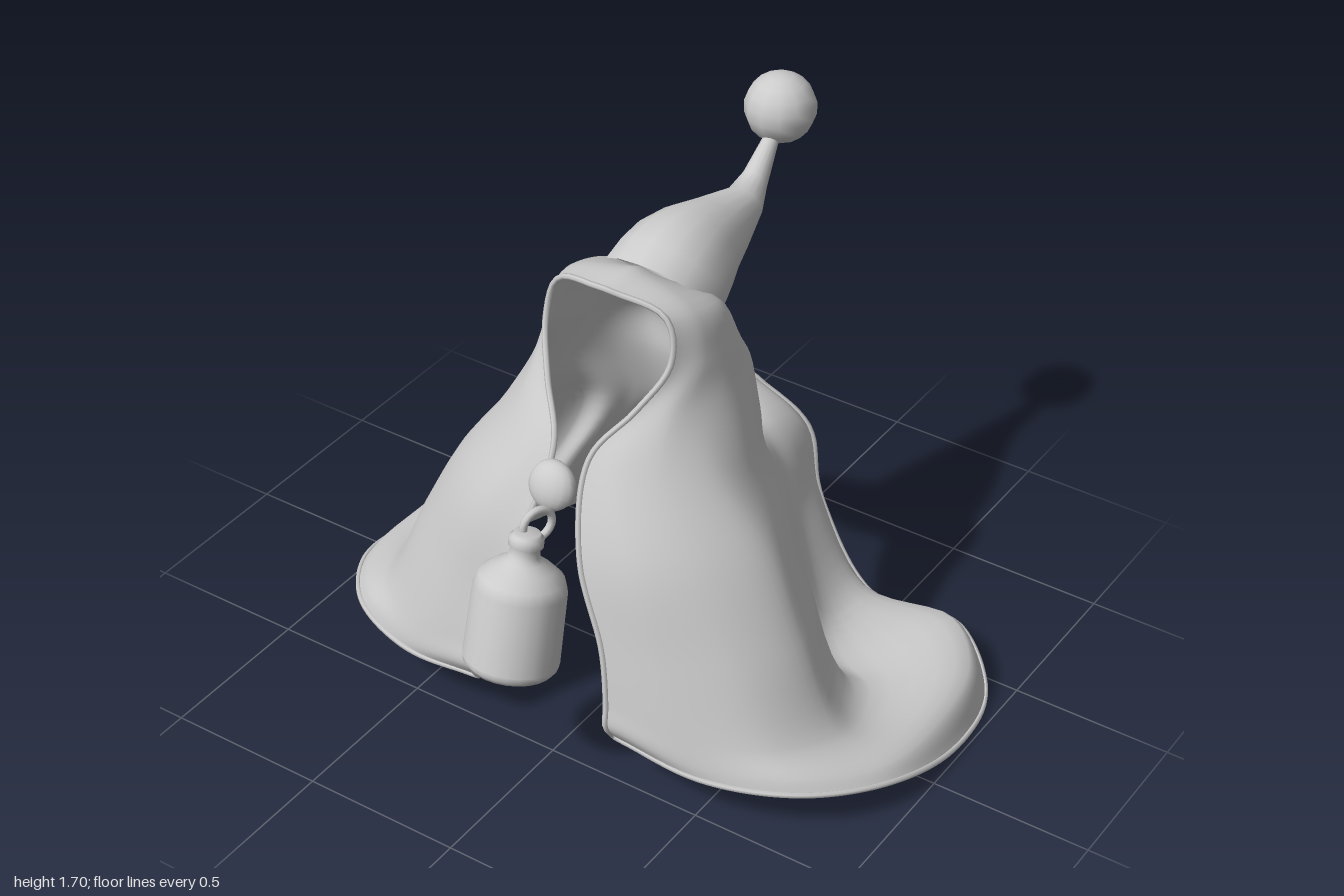
import * as THREE from 'three';
import { mergeVertices } from 'three/addons/utils/BufferGeometryUtils.js';

const material = new THREE.MeshStandardMaterial({ color: 0xcccccc, side: THREE.DoubleSide });

function add(parent, name, geometry) {
  const mesh = new THREE.Mesh(geometry, material);
  mesh.name = name;
  parent.add(mesh);
  return mesh;
}

// Smooth surface through a grid of points given by at(i / nu, j / nv)
function gridSurface(nu, nv, at) {
  const positions = [], index = [];
  for (let j = 0; j <= nv; j++) {
    for (let i = 0; i <= nu; i++) positions.push(...at(i / nu, j / nv).toArray());
  }
  for (let j = 0; j < nv; j++) {
    for (let i = 0; i < nu; i++) {
      const a = j * (nu + 1) + i, b = a + nu + 1;
      index.push(a, b, a + 1, a + 1, b, b + 1);
    }
  }
  const g = new THREE.BufferGeometry();
  g.setAttribute('position', new THREE.Float32BufferAttribute(positions, 3));
  g.setIndex(index);
  const merged = mergeVertices(g, 1e-4);
  merged.computeVertexNormals();
  return merged;
}

const curve = (...pts) => new THREE.CatmullRomCurve3(pts.map(p => new THREE.Vector3(...p)));

// Left half of the cloak: each section runs from the front edge round to the middle of the back
const crown = curve([0, 1.46, 0.215], [0, 1.455, 0.07], [0, 1.36, -0.04], [0, 1.27, -0.11], [0, 1.18, -0.17]);
const brow = curve([0.18, 1.41, 0.18], [0.21, 1.39, 0.08], [0.195, 1.34, -0.07], [0.12, 1.25, -0.15], [0, 1.155, -0.18]);
const cheek = curve([0.21, 1.28, 0.2], [0.26, 1.26, 0.1], [0.25, 1.23, -0.07], [0.16, 1.17, -0.19], [0, 1.12, -0.2]);
const neck = curve([0.15, 1.15, 0.28], [0.24, 1.14, 0.23], [0.3, 1.12, 0.06], [0.27, 1.1, -0.11],
  [0.17, 1.08, -0.24], [0, 1.04, -0.22]);
// Below the shoulders a fold, a valley and a second fold run down the back of each side
const chest = curve([0.06, 1.01, 0.38], [0.16, 1, 0.37], [0.27, 0.99, 0.31], [0.355, 0.97, 0.2], [0.37, 0.95, 0.08],
  [0.345, 0.94, -0.04], [0.3, 0.94, -0.13], [0.24, 0.94, -0.21], [0.17, 0.94, -0.25], [0.09, 0.93, -0.25], [0, 0.92, -0.24]);
const waist = curve([0.1, 0.75, 0.49], [0.28, 0.76, 0.46], [0.44, 0.75, 0.34], [0.52, 0.74, 0.17], [0.45, 0.74, 0],
  [0.35, 0.74, -0.17], [0.28, 0.75, -0.2], [0.23, 0.76, -0.26], [0.17, 0.76, -0.3], [0.09, 0.75, -0.31], [0, 0.73, -0.31]);
const skirt = curve([0.2, 0.49, 0.53], [0.38, 0.5, 0.49], [0.56, 0.5, 0.37], [0.645, 0.49, 0.19], [0.57, 0.49, 0.02],
  [0.46, 0.48, -0.13], [0.385, 0.5, -0.15], [0.33, 0.51, -0.25], [0.24, 0.61, -0.34], [0.14, 0.69, -0.38], [0, 0.72, -0.37]);
const flare = curve([0.23, 0.32, 0.555], [0.47, 0.27, 0.51], [0.68, 0.25, 0.39], [0.775, 0.22, 0.19], [0.75, 0.2, 0.06],
  [0.68, 0.19, -0.06], [0.57, 0.2, -0.1], [0.46, 0.25, -0.23], [0.29, 0.42, -0.39], [0.17, 0.65, -0.47], [0, 0.765, -0.46]);
// Skirt spreads out into a low shelf before dropping to the hem
const shelf = curve([0.235, 0.25, 0.565], [0.5, 0.19, 0.515], [0.75, 0.18, 0.4], [0.91, 0.14, 0.17], [0.94, 0.12, -0.1],
  [0.9, 0.14, -0.37], [0.77, 0.18, -0.49], [0.45, 0.16, -0.5], [0.25, 0.4, -0.56], [0.17, 0.62, -0.57], [0, 0.775, -0.515]);
const hem = curve([0.24, 0.19, 0.53], [0.52, 0.15, 0.51], [0.78, 0.14, 0.4], [0.945, 0.1, 0.17], [0.985, 0.018, -0.17],
  [0.93, 0.018, -0.43], [0.77, 0.12, -0.54], [0.45, 0.09, -0.56], [0.235, 0.36, -0.595], [0.175, 0.58, -0.612], [0, 0.745, -0.55]);
const sections = [crown, brow, cheek, neck, chest, waist, skirt, flare, shelf, hem];

// u: left front edge (0), back (0.5), right front edge (1); v: crown to hem
function cloakPoint(u, v) {
  const t = 1 - Math.abs(1 - 2 * u);
  const p = new THREE.CatmullRomCurve3(sections.map(s => s.getPoint(t))).getPoint(v);
  if (u > 0.5) p.x = -p.x;
  return p;
}

// Drooping hood tip, as rings: top z, top y, bottom z, bottom y, half width
const tipRings = [
  [0.05, 1.45, -0.18, 1.17, 0.18],
  [-0.02, 1.49, -0.22, 1.18, 0.172],
  [-0.1, 1.51, -0.26, 1.2, 0.158],
  [-0.2, 1.508, -0.32, 1.22, 0.13],
  [-0.3, 1.48, -0.4, 1.25, 0.103],
  [-0.47, 1.435, -0.53, 1.315, 0.058],
  [-0.53, 1.46, -0.575, 1.38, 0.04],
  [-0.62, 1.535, -0.65, 1.49, 0.024],
  [-0.68, 1.59, -0.7, 1.56, 0.02],
];

function tipPoint(u, v) {
  const [zt, yt, zb, yb, w] = tipRings[Math.round(v * (tipRings.length - 1))];
  const a = u * Math.PI * 2, c = Math.cos(a);
  return new THREE.Vector3(-w * Math.sin(a), (yt + yb) / 2 + c * (yt - yb) / 2, (zt + zb) / 2 + c * (zt - zb) / 2);
}

export function createModel() {
  const model = new THREE.Group();
  model.name = 'hoodedCloak';

  // Cloak and its thick rolled edge
  add(model, 'cloak', gridSurface(120, 54, cloakPoint));
  const edge = [];
  for (let i = 0; i < 40; i++) edge.push(cloakPoint(0, i / 40));
  for (let i = 0; i < 80; i++) edge.push(cloakPoint(i / 80, 1));
  for (let i = 40; i > 0; i--) edge.push(cloakPoint(1, i / 40));
  add(model, 'cloakEdge', new THREE.TubeGeometry(new THREE.CatmullRomCurve3(edge, true), 320, 0.009, 6, true));

  // Hood tip and pompom
  add(model, 'hoodTip', gridSurface(16, tipRings.length - 1, tipPoint));
  add(model, 'pompom', new THREE.SphereGeometry(0.108, 12, 9)).position.set(-0.01, 1.59, -0.702);

  // Clasp and the ring hanging from it
  const clasp = add(model, 'clasp', new THREE.SphereGeometry(0.074, 16, 12));
  clasp.scale.z = 0.6;
  clasp.position.set(-0.01, 0.94, 0.46);
  clasp.rotation.x = -0.35;
  const ring = add(model, 'ring', new THREE.TorusGeometry(0.048, 0.012, 8, 20));
  ring.position.set(-0.005, 0.855, 0.54);
  ring.rotation.y = 1.2;

  // Hanging bottle, tilted away from the cloak
  const profile = [[0, 0], [0.125, 0], [0.137, 0.015], [0.139, 0.03], [0.134, 0.25], [0.122, 0.285], [0.09, 0.312],
    [0.055, 0.335], [0.044, 0.35], [0.042, 0.375], [0.05, 0.38], [0.05, 0.405], [0.04, 0.41], [0.038, 0.42], [0, 0.42]];
  const bottle = add(model, 'bottle', new THREE.LatheGeometry(profile.map(p => new THREE.Vector2(...p)), 24));
  bottle.position.set(-0.01, 0.445, 0.68);
  bottle.rotation.x = -0.24;

  return model;
}
